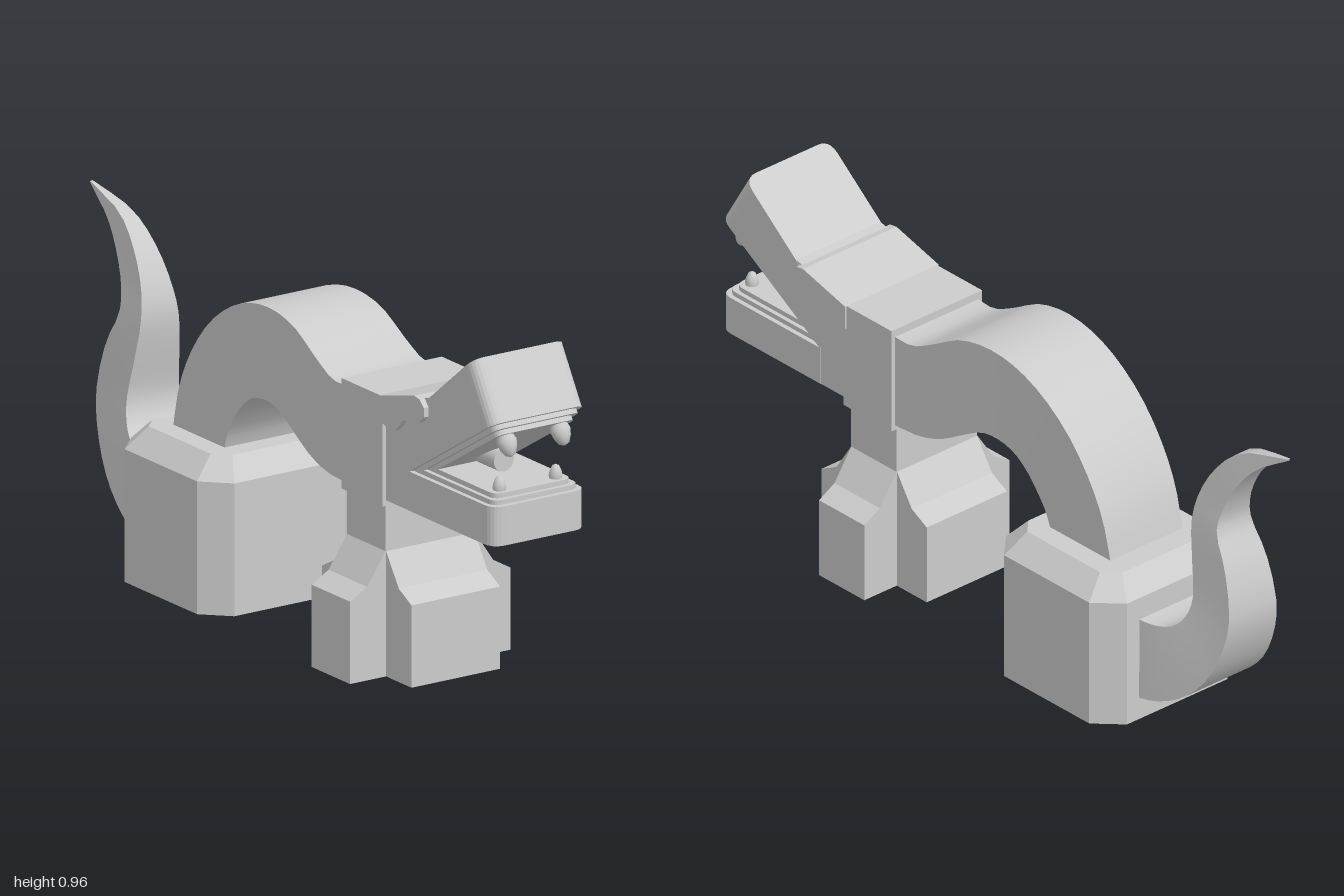
import * as THREE from 'three';
import { toCreasedNormals } from 'three/addons/utils/BufferGeometryUtils.js';

const material = new THREE.MeshStandardMaterial({ color: 0xcccccc, side: THREE.DoubleSide });

function add(parent, name, geometry, x = 0, y = 0, z = 0) {
  const mesh = new THREE.Mesh(geometry, material);
  mesh.name = name;
  mesh.position.set(x, y, z);
  parent.add(mesh);
  return mesh;
}

// Side profile of [z, y] points, extruded across x and centred
function sideExtrude(points, halfWidth) {
  const shape = new THREE.Shape(points.map(p => new THREE.Vector2(...p)));
  const g = new THREE.ExtrudeGeometry(shape, { depth: halfWidth * 2, bevelEnabled: false });
  return g.translate(0, 0, -halfWidth).rotateY(-Math.PI / 2);
}

// Flat slab running along +z from 0, with rounded front corners, rising from y = 0
function jawSlab(halfWidth, length, height, r) {
  const s = new THREE.Shape();
  s.moveTo(halfWidth, 0);
  s.lineTo(-halfWidth, 0);
  s.lineTo(-halfWidth, r - length);
  s.quadraticCurveTo(-halfWidth, -length, r - halfWidth, -length);
  s.lineTo(halfWidth - r, -length);
  s.quadraticCurveTo(halfWidth, -length, halfWidth, r - length);
  s.closePath();
  const g = new THREE.ExtrudeGeometry(s, { depth: height, bevelEnabled: false, curveSegments: 6 });
  return g.rotateX(-Math.PI / 2);
}

// Stacked rings of [x, y, z] points joined by flat faces, optionally closed on top
function stackRings(rings, capTop) {
  const pos = [];
  const n = rings[0].length;
  for (let i = 0; i < rings.length - 1; i++) {
    for (let j = 0; j < n; j++) {
      const a = rings[i][j], b = rings[i][(j + 1) % n];
      const c = rings[i + 1][(j + 1) % n], d = rings[i + 1][j];
      pos.push(...a, ...c, ...b, ...a, ...d, ...c);
    }
  }
  if (capTop) {
    const top = rings[rings.length - 1];
    for (let j = 1; j < n - 1; j++) pos.push(...top[0], ...top[j + 1], ...top[j]);
  }
  const g = new THREE.BufferGeometry();
  g.setAttribute('position', new THREE.Float32BufferAttribute(pos, 3));
  g.computeVertexNormals();
  return g;
}

// Box-section sweep between an outer and an inner [z, y] curve; width(t) is the half width
function ribbon(outer, inner, width, steps) {
  const curve = pts => new THREE.CatmullRomCurve3(pts.map(([z, y]) => new THREE.Vector3(0, y, z)));
  const o = curve(outer), n = curve(inner);
  const rings = [];
  for (let i = 0; i <= steps; i++) {
    const t = i / steps, w = width(t), a = o.getPoint(t), b = n.getPoint(t);
    rings.push([[-w, a.y, a.z], [w, a.y, a.z], [w, b.y, b.z], [-w, b.y, b.z]]);
  }
  return toCreasedNormals(stackRings(rings, false), 0.6);
}

function tooth(radius, height) {
  const profile = [[radius * 0.8, 0], [radius, height * 0.3], [radius * 0.85, height * 0.6],
    [radius * 0.5, height * 0.9], [0, height]];
  return new THREE.LatheGeometry(profile.map(p => new THREE.Vector2(...p)), 16);
}

export function createModel() {
  const model = new THREE.Group();
  model.name = 'dragon';

  // Front stand: cross-shaped hollow foot narrowing into a column
  const cross = ([y, ax, az]) => {
    const w = 0.137, d = 0.086, c = 0.425;
    return [[w, d], [w, az], [-w, az], [-w, d], [-ax, d], [-ax, -d], [-w, -d], [-w, -az],
      [w, -az], [w, -d], [ax, -d], [ax, d]].map(([x, z]) => [x, y, z + c]);
  };
  const crossLevels = [[0, 0.248, 0.2], [0.22, 0.248, 0.2], [0.25, 0.195, 0.143],
    [0.335, 0.138, 0.087], [0.47, 0.138, 0.087]];
  add(model, 'frontStand', stackRings(crossLevels.map(cross), false).scale(1, 1, 1));

  // Hind block: open underneath, chamfered corners and sloped rim
  const octagon = ([y, hx, hz, c]) => [[hx, hz - c], [hx - c, hz], [c - hx, hz], [-hx, hz - c],
    [-hx, c - hz], [c - hx, -hz], [hx - c, -hz], [hx, c - hz]].map(([x, z]) => [x, y, z - 0.345]);
  const blockLevels = [[0, 0.24, 0.23, 0.068], [0.355, 0.24, 0.23, 0.068], [0.412, 0.182, 0.178, 0.04]];
  add(model, 'hindBlock', stackRings(blockLevels.map(octagon), true));

  // Arched body
  add(model, 'body', ribbon(
    [[0.36, 0.735], [0.28, 0.733], [0.2, 0.77], [0.1, 0.825], [0, 0.845], [-0.1, 0.835], [-0.2, 0.795],
      [-0.3, 0.72], [-0.38, 0.62], [-0.43, 0.52], [-0.46, 0.4]],
    [[0.36, 0.473], [0.25, 0.48], [0.17, 0.505], [0.09, 0.55], [0.02, 0.587], [-0.04, 0.593], [-0.1, 0.578],
      [-0.15, 0.54], [-0.19, 0.49], [-0.215, 0.45], [-0.232, 0.4]],
    t => 0.143 - 0.02 * t, 24));

  // Tail tapering to a point
  add(model, 'tail', ribbon(
    [[-0.55, 0.06], [-0.62, 0.07], [-0.7, 0.105], [-0.78, 0.175], [-0.835, 0.27], [-0.862, 0.38],
      [-0.835, 0.52], [-0.79, 0.615], [-0.8, 0.68], [-0.84, 0.76], [-0.9, 0.83], [-1, 0.893]],
    [[-0.55, 0.295], [-0.6, 0.29], [-0.64, 0.293], [-0.68, 0.31], [-0.71, 0.345], [-0.725, 0.4],
      [-0.71, 0.5], [-0.695, 0.61], [-0.71, 0.69], [-0.76, 0.78], [-0.84, 0.853], [-1, 0.897]],
    t => 0.13 * (1 - t) ** 0.85 + 0.004, 28));

  // Head: collar, skull and side plates
  const head = new THREE.Group();
  head.name = 'head';
  model.add(head);
  add(head, 'collar', new THREE.BoxGeometry(0.31, 0.295, 0.182), 0, 0.6075, 0.43);
  add(head, 'skull', sideExtrude([[0.5, 0.475], [0.626, 0.475], [0.626, 0.58], [0.76, 0.661],
    [0.718, 0.8], [0.5, 0.75]], 0.144));
  add(head, 'browPlate', sideExtrude([[0.51, 0.755], [0.67, 0.797], [0.695, 0.793], [0.713, 0.775],
    [0.713, 0.75], [0.69, 0.73], [0.65, 0.722], [0.62, 0.718], [0.605, 0.7], [0.585, 0.682],
    [0.56, 0.676], [0.535, 0.684], [0.51, 0.69]], 0.16));

  // Lower jaw with stepped gum, teeth and tongue
  add(head, 'lowerJaw', jawSlab(0.145, 0.38, 0.105, 0.04), 0, 0.475, 0.62);
  [0, 1].forEach(i =>
    add(head, 'lowerGum', jawSlab(0.132 - i * 0.012, 0.366 - i * 0.013, 0.015, 0.03), 0, 0.578 + i * 0.013, 0.62));
  const tongue = new THREE.CylinderGeometry(0.031, 0.031, 0.2, 24).rotateX(Math.PI / 2);
  add(head, 'tongue', tongue, 0, 0.641, 0.74);

  // Upper jaw, tilted open, thickening towards the snout
  const upper = new THREE.Group();
  upper.name = 'upperJaw';
  upper.position.set(0, 0.58, 0.625);
  upper.rotation.x = -0.54;
  head.add(upper);
  const snout = jawSlab(0.145, 0.437, 1, 0.04);
  const p = snout.attributes.position;
  for (let i = 0; i < p.count; i++) p.setY(i, p.getY(i) * (0.117 + 0.134 * p.getZ(i)));
  snout.computeVertexNormals();
  add(upper, 'snout', snout);
  [0, 1].forEach(i =>
    add(upper, 'upperGum', jawSlab(0.132 - i * 0.012, 0.424 - i * 0.013, 0.015, 0.03), 0, -0.013 - i * 0.013, 0));

  for (const side of [-1, 1]) {
    add(head, 'lowerTooth', tooth(0.018, 0.045), side * 0.087, 0.598, 0.945);
    add(upper, 'upperTooth', tooth(0.027, 0.06), side * 0.083, -0.022, 0.38).rotation.x = Math.PI;
  }
  return model;
}
